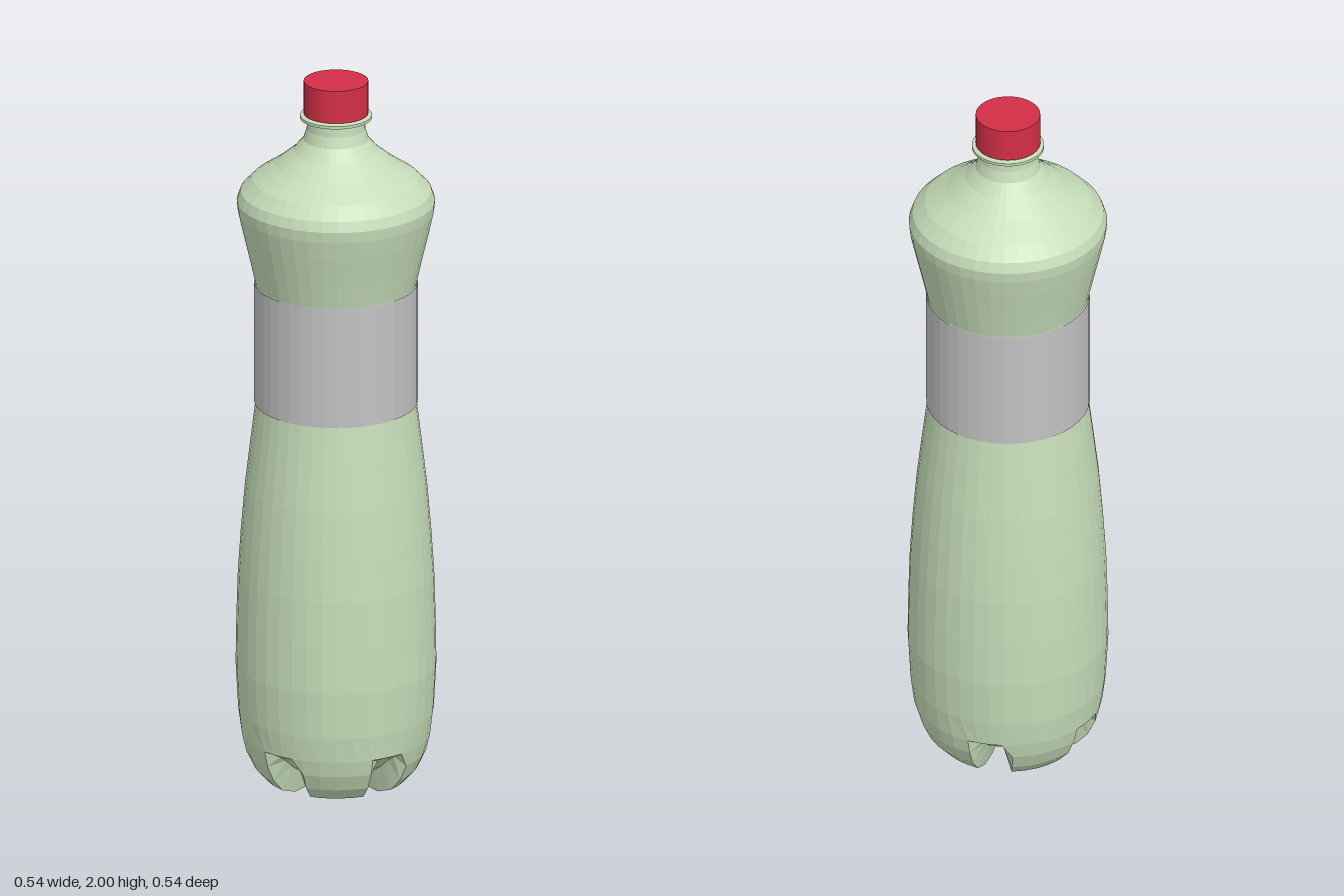
import * as THREE from 'three';

const SEGMENTS = 40;
const LOBES = 5;
const START = THREE.MathUtils.degToRad(25);

export function createModel() {
  const green = new THREE.MeshStandardMaterial({ color: 0xc6ddb9, flatShading: true });
  green.name = 'pale green plastic';
  const grey = new THREE.MeshStandardMaterial({ color: 0xc2c2c2, flatShading: true, side: THREE.DoubleSide });
  grey.name = 'grey label';
  const red = new THREE.MeshStandardMaterial({ color: 0xd42f46, flatShading: true });
  red.name = 'red cap plastic';

  const group = new THREE.Group();
  group.name = 'bottle';
  const add = (name, geometry, material, y = 0) => {
    const mesh = new THREE.Mesh(geometry, material);
    mesh.name = name;
    mesh.position.y = y;
    group.add(mesh);
    return mesh;
  };
  const lathe = (points) =>
    new THREE.LatheGeometry(points.map(([r, y]) => new THREE.Vector2(r, y)), SEGMENTS, START);

  // Foot outline along a lobe, and along a groove between two lobes
  const lobe = [[0, 0.05], [0.05, 0.035], [0.1, 0.008], [0.145, 0], [0.19, 0.015], [0.222, 0.05], [0.243, 0.095], [0.254, 0.14]];
  const groove = [[0, 0.05], [0.05, 0.05], [0.1, 0.055], [0.145, 0.065], [0.175, 0.085], [0.2, 0.108], [0.225, 0.125], [0.254, 0.14]];

  // Body from foot to neck
  const wall = [
    [0.263, 0.21], [0.27, 0.34], [0.268, 0.47], [0.264, 0.6], [0.256, 0.72], [0.245, 0.85], [0.231, 0.97],
    [0.217, 1.085], [0.216, 1.25], [0.217, 1.425],
    [0.234, 1.5], [0.253, 1.58], [0.264, 1.63], [0.267, 1.66], [0.257, 1.688], [0.224, 1.722],
    [0.165, 1.762], [0.115, 1.803], [0.088, 1.835], [0.079, 1.865], [0.076, 1.91],
  ];
  const profile = [...lobe, ...wall];
  const body = lathe(profile);
  const pos = body.attributes.position;
  const per = SEGMENTS / LOBES;
  const warped = [0, 7, 14, 25, 36]; // degrees from the groove centre

  // Press the grooves into the foot
  for (let i = 0; i <= SEGMENTS; i++) {
    const k = Math.round(i / per);
    const step = i - k * per;
    const offset = Math.sign(step) * warped[Math.abs(step)];
    const angle = START + THREE.MathUtils.degToRad(k * 360 / LOBES + offset);
    const source = Math.abs(step) < 2 ? groove : lobe;
    for (let j = 0; j < lobe.length; j++) {
      const [r, y] = source[j];
      pos.setXYZ(i * profile.length + j, r * Math.sin(angle), y, r * Math.cos(angle));
    }
  }
  body.computeVertexNormals();
  add('body', body, green);

  // Collar under the cap
  add('neckRing', lathe([[0.074, 1.892], [0.097, 1.895], [0.097, 1.903], [0.074, 1.906]]), green);

  // Label sleeve around the waist
  add('label', new THREE.CylinderGeometry(0.22, 0.22, 0.34, SEGMENTS, 1, true, START), grey, 1.255);

  // Screw cap
  add('cap', new THREE.CylinderGeometry(0.087, 0.087, 0.092, SEGMENTS, 1, false, START), red, 1.954);

  return group;
}
